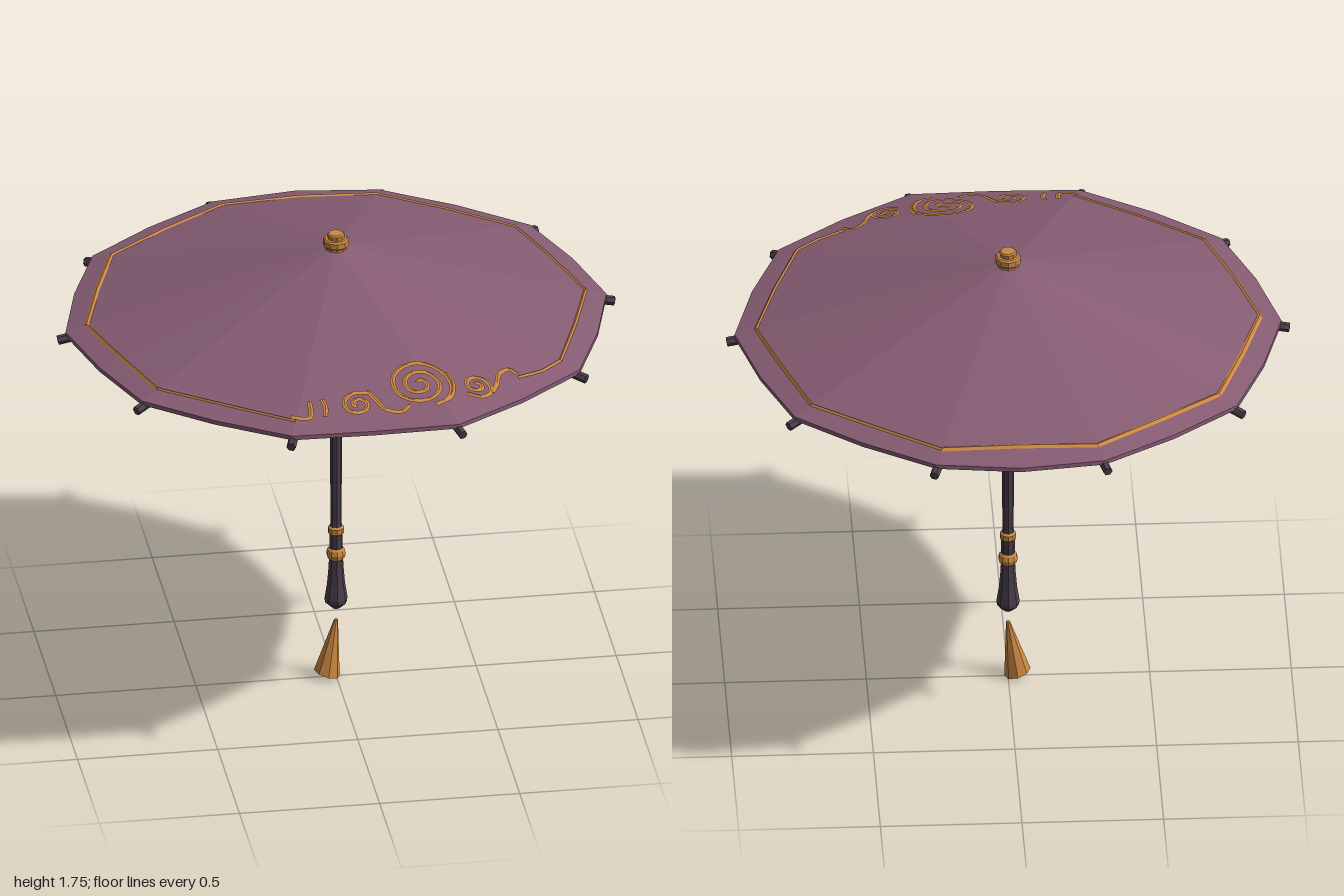
import * as THREE from 'three';

const RIBS = 10, SIDES = 20, STEP = Math.PI / 10;
const APEX = 1.705, RIM = 1.438;

const mat = (name, color, side = THREE.FrontSide) => {
  const m = new THREE.MeshStandardMaterial({ color, flatShading: true, side });
  m.name = name;
  return m;
};

// Rim radius at each corner: ribs hold the cloth out, the cloth sags in between
const rimRadius = (i) => {
  const k = ((i % SIDES) + SIDES) % SIDES;
  if (k % 2 === 0) return 0.965;
  return k === 5 ? 0.925 : k === 15 ? 0.955 : 0.935;
};
const rimPoint = (i) => new THREE.Vector2(Math.cos(i * STEP), Math.sin(i * STEP)).multiplyScalar(rimRadius(i));

// Height of the faceted canopy above a point of the ground plane
function canopyY(x, z) {
  const i = Math.floor(Math.atan2(z, x) / STEP);
  const a = rimPoint(i), b = rimPoint(i + 1);
  const t = (x * (b.y - a.y) - z * (b.x - a.x)) / (a.x * b.y - a.y * b.x);
  return APEX - (APEX - RIM) * t;
}

function fromTriangles(pos) {
  const g = new THREE.BufferGeometry();
  g.setAttribute('position', new THREE.Float32BufferAttribute(pos, 3));
  g.computeVertexNormals();
  return g;
}

// Cloth: outer cone, thin lip, shallower inner cone
function canopyGeometry() {
  const rings = [[0, APEX], [1, RIM], [1, 1.422], [0.985, 1.42], [0, 1.61]];
  const pt = ([s, y], i) => { const p = rimPoint(i); return [p.x * s, y, p.y * s]; };
  const pos = [];
  for (let k = 0; k < rings.length - 1; k++) {
    for (let i = 0; i < SIDES; i++) {
      const a = pt(rings[k], i), b = pt(rings[k], i + 1);
      const c = pt(rings[k + 1], i), d = pt(rings[k + 1], i + 1);
      if (k > 0) pos.push(...a, ...b, ...d);
      if (k < 3) pos.push(...a, ...d, ...c);
    }
  }
  return fromTriangles(pos);
}

// Thin painted ribbon that follows the cloth along a path of [x, z] points;
// lift is the height of its middle and edgeLift that of its two edges
function ribbonGeometry(path, width, lift, edgeLift) {
  const rows = path.map((p, i) => {
    const a = path[Math.max(i - 1, 0)], b = path[Math.min(i + 1, path.length - 1)];
    const dx = b[0] - a[0], dz = b[1] - a[1], l = Math.hypot(dx, dz) || 1;
    return [1, 0, -1].map((s) => {
      const x = p[0] - (s * dz / l) * width / 2, z = p[1] + (s * dx / l) * width / 2;
      return [x, canopyY(x, z) + (s ? edgeLift : lift), z];
    });
  });
  const pos = [];
  for (let i = 0; i < rows.length - 1; i++) {
    for (let k = 0; k < 2; k++) {
      const a = rows[i][k], b = rows[i][k + 1], c = rows[i + 1][k], d = rows[i + 1][k + 1];
      pos.push(...a, ...c, ...b, ...b, ...c, ...d);
    }
  }
  return fromTriangles(pos);
}

const smooth = (pts, n = 24) =>
  new THREE.SplineCurve(pts.map((p) => new THREE.Vector2(...p))).getPoints(n).map((p) => [p.x, p.y]);

// Spiral from the centre outwards, ending at angle "end"
function spiral(cx, cz, r0, r1, turns, end) {
  const out = [], n = Math.round(turns * 22);
  for (let i = 0; i <= n; i++) {
    const t = i / n, r = r0 + (r1 - r0) * t, a = end - (1 - t) * turns * Math.PI * 2;
    out.push([cx + r * Math.cos(a), cz + r * Math.sin(a)]);
  }
  return out;
}

export function createModel() {
  const root = new THREE.Group();
  root.name = 'parasol';
  const cloth = mat('plum cloth', 0x865c73);
  const wood = mat('dark wood', 0x493f49);
  const gold = mat('gold', 0xcc8842, THREE.DoubleSide);

  const add = (name, geo, material, parent = root) => {
    const m = new THREE.Mesh(geo, material);
    m.name = name;
    parent.add(m);
    return m;
  };
  const lathe = (name, pts, sides, material) =>
    add(name, new THREE.LatheGeometry(pts.map(([r, y]) => new THREE.Vector2(r, y)), sides), material);

  add('canopy', canopyGeometry(), cloth);

  // Ribs under the cloth, poking out past the rim
  const ribs = new THREE.Group();
  ribs.name = 'ribs';
  root.add(ribs);
  const inner = new THREE.Vector2(0.3, 1.542), outer = new THREE.Vector2(0.993, 1.408);
  const length = inner.distanceTo(outer);
  for (let i = 0; i < RIBS; i++) {
    const arm = new THREE.Group();
    arm.name = 'ribArm';
    arm.rotation.y = i * STEP * 2;
    const rib = add('rib', new THREE.CylinderGeometry(0.017, 0.017, length, 6), wood, arm);
    rib.position.set((inner.x + outer.x) / 2, (inner.y + outer.y) / 2, 0);
    rib.rotation.z = Math.atan2(outer.y - inner.y, outer.x - inner.x) + Math.PI / 2;
    ribs.add(arm);
  }

  // Dark funnel where the struts gather at the hub
  const funnel = add('strutFunnel', new THREE.CylinderGeometry(0.362, 0.03, 0.08, RIBS, 1, false, Math.PI / 2), wood);
  funnel.position.y = 1.468;

  // Pole with a flared grip
  lathe('pole', [[0, 0.268], [0.014, 0.272], [0.039, 0.295], [0.041, 0.312], [0.032, 0.37], [0.027, 0.43],
    [0.024, 0.49], [0.024, 0.57], [0.02, 0.61], [0.021, 0.9], [0.023, 1.3], [0.023, 1.45]], 8, wood);

  // Gold fittings
  lathe('gripRing', [[0.024, 0.465], [0.031, 0.472], [0.035, 0.488], [0.031, 0.504], [0.024, 0.511]], 10, gold);
  lathe('upperGripRing', [[0.02, 0.562], [0.029, 0.57], [0.029, 0.59], [0.02, 0.598]], 10, gold);
  lathe('neckRing', [[0.022, 1.32], [0.027, 1.323], [0.027, 1.34], [0.022, 1.343]], 10, gold);
  lathe('hub', [[0.022, 1.365], [0.027, 1.37], [0.038, 1.41], [0.038, 1.435], [0, 1.437]], 10, gold);
  lathe('finial', [[0.038, 1.69], [0.038, 1.703], [0.046, 1.71], [0.046, 1.73], [0.04, 1.736],
    [0.03, 1.736], [0.031, 1.75], [0.026, 1.755], [0, 1.755]], 10, gold);

  // Tassel swinging to one side
  const tassel = new THREE.CylinderGeometry(0.007, 0.046, 0.21, 8);
  const p = tassel.attributes.position;
  for (let i = 0; i < p.count; i++) {
    const low = p.getY(i) < 0;
    const x = p.getX(i) - (low ? 0.033 : 0);
    p.setXY(i, x, low ? 0.016 - (x + 0.033) * 0.32 : 0.225);
  }
  tassel.computeVertexNormals();
  add('tassel', tassel, gold);

  // Border line in straight runs from rib to rib: [first corner, last corner, width]
  const trim = new THREE.Group();
  trim.name = 'goldTrim';
  root.add(trim);
  const corner = (i) => {
    const r = i % 2 === 0 ? 0.89 : 0.853;
    return [r * Math.cos(i * STEP), r * Math.sin(i * STEP)];
  };
  const border = (path, width) => add('borderLine', ribbonGeometry(path, width, 0.006, -0.002), gold, trim);
  for (const [from, to, width] of [[-4, 2, 0.016], [6, 8, 0.011], [8, 10, 0.018], [10, 16, 0.026]]) {
    for (let i = from; i < to; i++) border([corner(i), corner(i + 1)], width);
  }
  border([corner(2), [0.64, 0.595], [0.55, 0.64]], 0.016);

  // Scrollwork on the front of the canopy
  const scrolls = [
    smooth([[-0.29, 0.835], [-0.25, 0.85], [-0.22, 0.84], [-0.215, 0.77]]),
    smooth([[-0.17, 0.765], [-0.162, 0.8], [-0.17, 0.85]]),
    [...spiral(-0.045, 0.8, 0.01, 0.058, 1.5, Math.PI * 1.6),
      ...smooth([[0.0, 0.745], [0.022, 0.79], [0.05, 0.835], [0.1, 0.85], [0.135, 0.82]])],
    spiral(0.185, 0.72, 0.012, 0.12, 2.5, Math.PI * 2.25),
    smooth([[0.29, 0.66], [0.305, 0.72], [0.285, 0.79], [0.23, 0.825]]),
    [...spiral(0.39, 0.715, 0.008, 0.05, 1.4, Math.PI * 0.1),
      ...smooth([[0.44, 0.75], [0.465, 0.7], [0.48, 0.65], [0.52, 0.615], [0.55, 0.64]])],
    smooth([[0.35, 0.76], [0.4, 0.775], [0.44, 0.75]]),
  ];
  for (const s of scrolls) add('scroll', ribbonGeometry(s, 0.018, 0.014, 0.011), gold, trim);

  return root;
}
